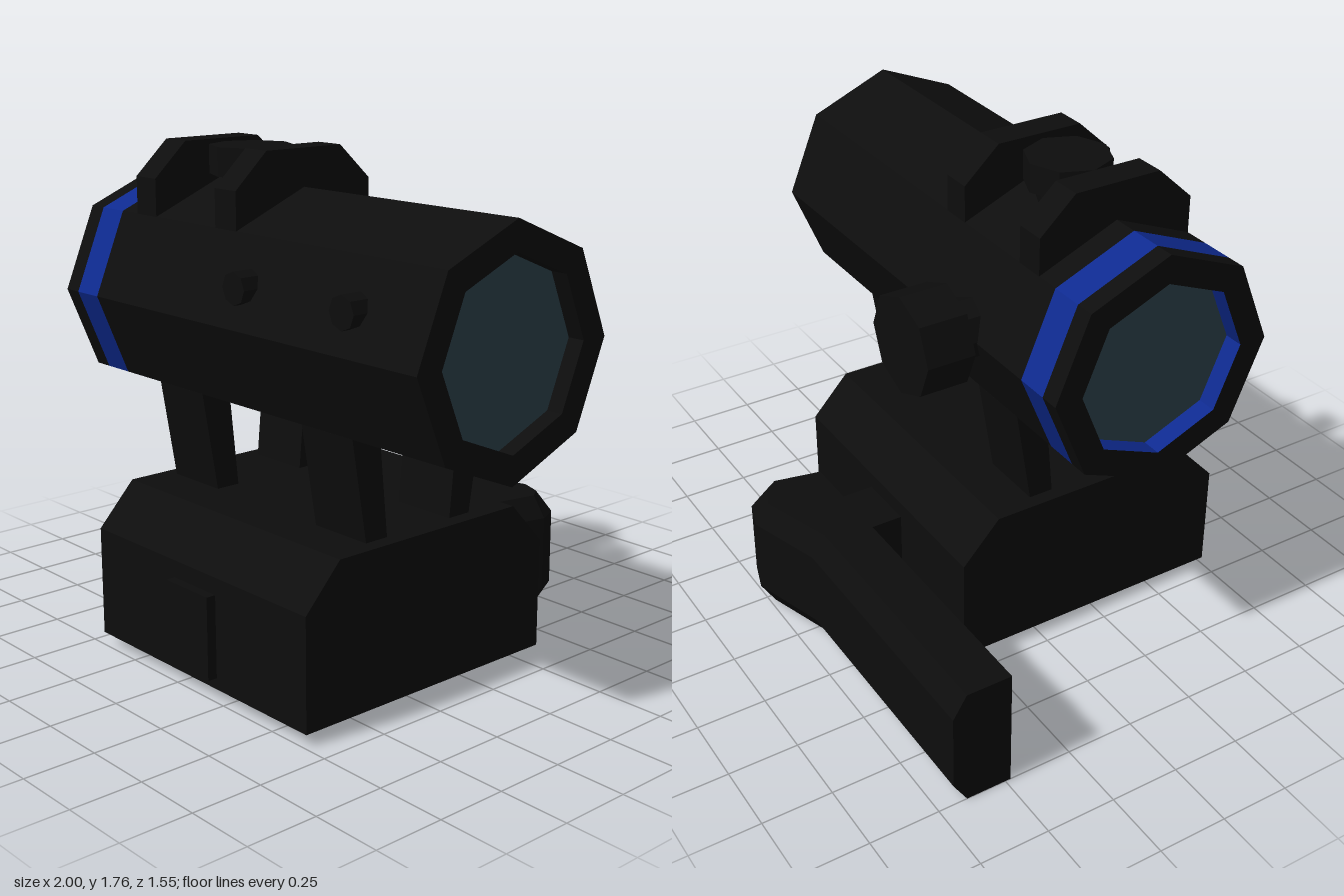
import * as THREE from 'three';

const CY = 1.22, CZ = 0.21; // tube axis

export function createModel() {
  const model = new THREE.Group();
  const mat = (name, color, flat = true) => {
    const m = new THREE.MeshStandardMaterial({ color, flatShading: flat });
    m.name = name;
    return m;
  };
  const black = mat('black metal', 0x0d0d0d);
  const blue = mat('blue band', 0x0e2a90);
  const glass = mat('lens glass', 0x324954);

  const add = (name, geo, material = black) => {
    const mesh = new THREE.Mesh(geo, material);
    mesh.name = name;
    model.add(mesh);
    return mesh;
  };
  // extrude a [z, y] outline along x
  const extrudeX = (pts, x0, x1) => {
    const shape = new THREE.Shape(pts.map(([z, y]) => new THREE.Vector2(-z, y)));
    return new THREE.ExtrudeGeometry(shape, { depth: x1 - x0, bevelEnabled: false })
      .rotateY(Math.PI / 2).translate(x0, 0, 0);
  };
  // octagonal surface around the tube axis from [radius, x] points
  const around = (pts) =>
    new THREE.LatheGeometry(pts.map(([r, x]) => new THREE.Vector2(r, x)), 8)
      .rotateZ(-Math.PI / 2).translate(0, CY, CZ);
  // cylinder along z between two z values
  const cylZ = (r, x, y, z0, z1, n = 8) =>
    new THREE.CylinderGeometry(r, r, z1 - z0, n).rotateX(Math.PI / 2)
      .translate(x, y, (z0 + z1) / 2);

  // sight tube
  add('rearRim', around([[0.31, -0.79], [0.41, -0.79], [0.41, -0.72]]));
  add('colourBand', around([[0.41, -0.72], [0.41, -0.6]]), blue);
  add('rearLiner', around([[0.31, -0.72], [0.31, -0.79]]), blue);
  add('tube', around([[0.41, -0.6], [0.41, 1], [0.31, 1], [0.31, 0.94]]));
  for (const [name, x, s] of [['frontLens', 0.94, 1], ['rearLens', -0.72, -1]]) {
    add(name, new THREE.CircleGeometry(0.31, 8).rotateY(s * Math.PI / 2).translate(x, CY, CZ), glass);
  }

  // guards either side of the top turret
  const guard = [[0.5, 1.5], [0.5, 1.64], [0.37, 1.76], [0.05, 1.76], [-0.08, 1.64], [-0.08, 1.5]];
  add('turretGuardRear', extrudeX(guard, -0.51, -0.4));
  add('turretGuardFront', extrudeX(guard, -0.07, 0.04));

  // top and side adjustment turrets
  add('topTurretStem', new THREE.CylinderGeometry(0.105, 0.105, 0.15, 8).translate(-0.235, 1.58, CZ));
  add('topTurretCap', new THREE.CylinderGeometry(0.148, 0.148, 0.1, 8).translate(-0.235, 1.7, CZ));
  add('sideTurretStem', cylZ(0.105, -0.235, 1.225, -0.26, -0.1));
  add('sideTurretCap', cylZ(0.178, -0.235, 1.23, -0.425, -0.25));

  // side screws
  for (const x of [0.17, 0.68]) add('sideScrew', cylZ(0.055, x, 1.355, 0.48, 0.618));

  // splayed legs, mirrored about the tube axis
  const leg = [[0.5, 0.93], [0.44, 0.57], [0.35, 0.57], [0.38, 0.88], [0.42, 0.95]];
  for (const [x0, x1] of [[-0.4, -0.16], [0.36, 0.6]]) {
    add('leg', extrudeX(leg, x0, x1));
    add('leg', extrudeX(leg.map(([z, y]) => [2 * CZ - z, y]), x0, x1));
  }

  // clamp base and cross bolt
  add('base', extrudeX([[0.74, 0.04], [0.74, 0.43], [0.6, 0.58], [-0.18, 0.58],
    [-0.32, 0.43], [-0.32, 0.04]], -0.45, 0.655));
  add('crossBolt', new THREE.BoxGeometry(0.22, 0.29, 1.27).translate(0.095, 0.225, 0.14));

  // locking lever: [x, z] outline stacked in y, with a bevelled outer edge
  const full = [[-1, -0.48], [0.34, -0.48], [0.38, -0.66], [0.34, -0.745],
    [0.23, -0.78], [-0.05, -0.695], [-1, -0.695]];
  const inset = [[-1, -0.48], [0.3, -0.48], [0.335, -0.65], [0.3, -0.7],
    [0.22, -0.73], [-0.05, -0.645], [-1, -0.645]];
  const layers = [[0, inset], [0.08, full], [0.36, full], [0.44, inset]];
  const n = full.length, pos = [], idx = [];
  for (const [y, ring] of layers) for (const [x, z] of ring) pos.push(x, y, z);
  for (let k = 0; k < layers.length - 1; k++) {
    for (let i = 0; i < n; i++) {
      const a = k * n + i, b = k * n + (i + 1) % n;
      idx.push(a, b, b + n, a, b + n, a + n);
    }
  }
  const top = (layers.length - 1) * n;
  const caps = THREE.ShapeUtils.triangulateShape(inset.map(([x, z]) => new THREE.Vector2(x, -z)), []);
  for (const [a, b, c] of caps) idx.push(c, b, a, top + a, top + b, top + c);
  const lever = new THREE.BufferGeometry();
  lever.setAttribute('position', new THREE.Float32BufferAttribute(pos, 3));
  lever.setIndex(idx);
  const leverGeo = lever.toNonIndexed();
  leverGeo.computeVertexNormals();
  add('lockingLever', leverGeo);

  return model;
}
